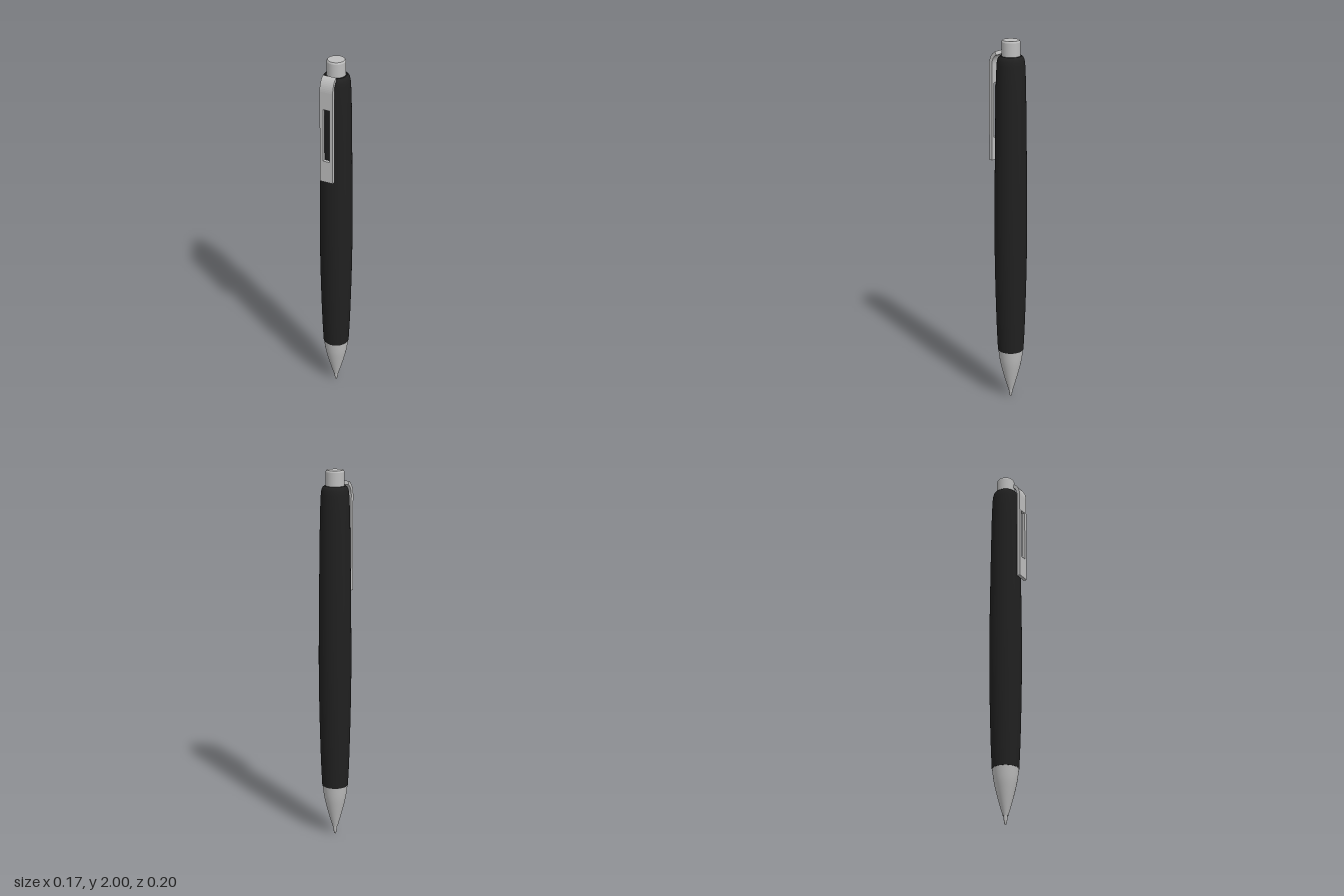
import * as THREE from 'three';

const AXIS_Z = -0.013;

export function createModel() {
  const pen = new THREE.Group();
  pen.name = 'pen';
  const black = new THREE.MeshStandardMaterial({ color: 0x202020 });
  black.name = 'matte black';
  const silver = new THREE.MeshStandardMaterial({ color: 0xbebebe });
  silver.name = 'satin silver';

  const add = (name, geometry, material) => {
    const mesh = new THREE.Mesh(geometry, material);
    mesh.name = name;
    pen.add(mesh);
    return mesh;
  };
  // Turned part around the pen axis from [radius, y] pairs, bottom to top
  const turned = (name, profile, material) => {
    const points = profile.map(([r, y]) => new THREE.Vector2(r, y));
    add(name, new THREE.LatheGeometry(points, 64), material).position.z = AXIS_Z;
  };
  // Smooth list of [radius, y] pairs through a few guides
  const smooth = (guides, n) => new THREE.SplineCurve(guides.map(([r, y]) => new THREE.Vector2(r, y)))
    .getPoints(n).map((p) => [p.x, p.y]);

  // Barrel: gentle swell, rounded shoulder
  turned('barrel', smooth([
    [0.07, 0.29], [0.077, 0.45], [0.0835, 0.7], [0.0865, 0.95], [0.085, 1.2],
    [0.0815, 1.5], [0.0775, 1.75], [0.0735, 1.86], [0.07, 1.895], [0.064, 1.912], [0.055, 1.92],
  ], 60), black);
  turned('barrelTop', [[0.055, 1.92], [0, 1.92]], black);
  turned('barrelBottom', [[0, 0.29], [0.07, 0.29]], black);

  // Nose cone and writing tip
  turned('noseCone', smooth([
    [0.014, 0.045], [0.03, 0.1], [0.047, 0.165], [0.06, 0.225], [0.0685, 0.291],
  ], 24), silver);
  turned('noseRim', [[0, 0.045], [0.014, 0.045]], silver);
  turned('writingTip', [[0, 0], [0.004, 0.001], [0.006, 0.005], [0.011, 0.035], [0.011, 0.046]], silver);

  // Push button with a softened top edge
  turned('buttonSide', [[0.048, 1.91], [0.048, 1.991]], silver);
  turned('buttonEdge', [[0.048, 1.991], [0.0465, 1.996], [0.043, 2]], silver);
  turned('buttonTop', [[0.043, 2], [0, 2]], silver);

  // Clip plate with an open slot
  const rect = (target, x, y0, y1) => target.moveTo(-x, y0).lineTo(x, y0).lineTo(x, y1).lineTo(-x, y1).closePath();
  const plate = rect(new THREE.Shape(), 0.036, 1.36, 1.865);
  plate.holes.push(rect(new THREE.Path(), 0.018, 1.48, 1.77));
  add('clipPlate', new THREE.ExtrudeGeometry(plate, { depth: 0.018, bevelEnabled: false }), silver)
    .position.z = 0.08;

  // Clip hook: side profile (z, y) bending back over the shoulder
  const hook = new THREE.Shape();
  hook.moveTo(0.098, 1.865);
  hook.bezierCurveTo(0.097, 1.895, 0.085, 1.925, 0.06, 1.938);
  hook.lineTo(0.053, 1.92);
  hook.bezierCurveTo(0.07, 1.912, 0.08, 1.89, 0.08, 1.865);
  hook.closePath();
  const hookGeometry = new THREE.ExtrudeGeometry(hook, { depth: 0.072, bevelEnabled: false, curveSegments: 10 });
  hookGeometry.rotateY(-Math.PI / 2);
  add('clipHook', hookGeometry, silver).position.x = 0.036;

  return pen;
}
